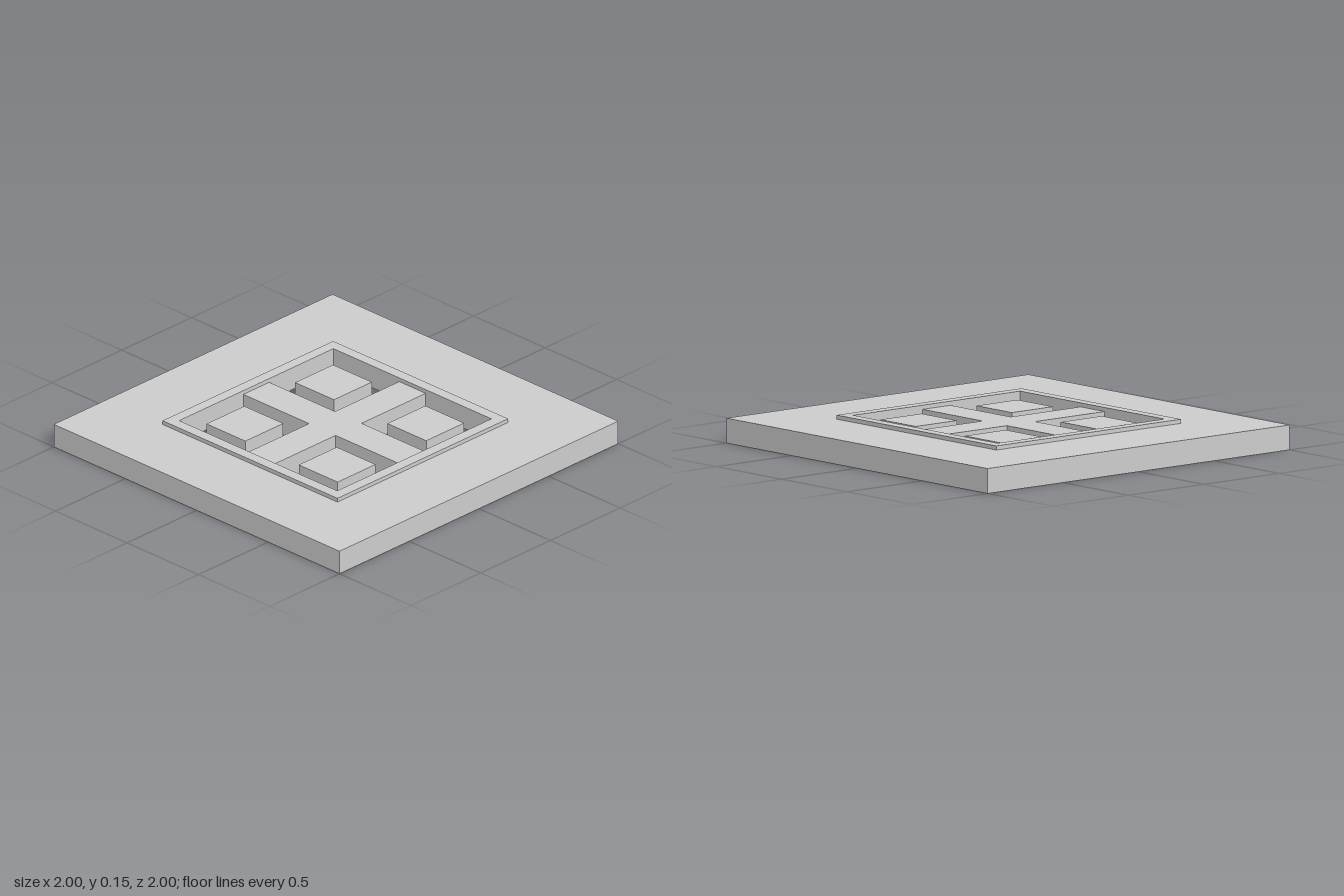
import * as THREE from 'three';
import { mergeGeometries } from 'three/addons/utils/BufferGeometryUtils.js';

const material = new THREE.MeshStandardMaterial({ color: 0xcccccc, side: THREE.DoubleSide, flatShading: true });

// Corners of a square in plan, [x, z]
const square = (half, cx = 0, cz = 0) =>
  [[-1, 1], [1, 1], [1, -1], [-1, -1]].map(([x, z]) => [cx + x * half, cz + z * half]);

// Thin shell with an open underside: a flat top plus a skirt below each walled loop
function shell(name, outline, hole, y0, y1, holeWalled = true) {
  const toVectors = loop => loop.map(([x, z]) => new THREE.Vector2(x, -z));
  const shape = new THREE.Shape(toVectors(outline));
  if (hole) shape.holes.push(new THREE.Path(toVectors(hole)));
  const parts = [new THREE.ShapeGeometry(shape).rotateX(-Math.PI / 2).translate(0, y1, 0)];
  const loops = hole && holeWalled ? [outline, [...hole].reverse()] : [outline];
  for (const loop of loops) {
    loop.forEach(([ax, az], i) => {
      const [bx, bz] = loop[(i + 1) % loop.length];
      const wall = new THREE.PlaneGeometry(Math.hypot(bx - ax, bz - az), y1 - y0);
      wall.rotateY(Math.atan2(az - bz, bx - ax));
      wall.translate((ax + bx) / 2, (y0 + y1) / 2, (az + bz) / 2);
      parts.push(wall);
    });
  }
  const mesh = new THREE.Mesh(mergeGeometries(parts), material);
  mesh.name = name;
  return mesh;
}

export function createModel() {
  const model = new THREE.Group();
  model.name = 'windowPanel';
  const cx = 0.003, cz = 0.008; // centre of the window
  const top = 0.127;

  // Square slab, open below, with the window opening cut through its top
  model.add(shell('baseSlab', square(1), square(0.553, cx, cz), 0, top, false));

  // Raised hollow frame around the opening
  model.add(shell('windowFrame', square(0.612, cx, cz), square(0.553, cx, cz), 0.025, 0.148));

  // Cross bars dividing the opening into four
  const e = 0.553, w = 0.093;
  const cross = [[-w, e], [w, e], [w, w], [e, w], [e, -w], [w, -w],
    [w, -e], [-w, -e], [-w, -w], [-e, -w], [-e, w], [-w, w]];
  model.add(shell('crossBars', cross.map(([x, z]) => [x + cx, z + cz]), null, 0, top));

  // A square block in the middle of each pane
  for (const sx of [-1, 1]) {
    for (const sz of [-1, 1]) {
      model.add(shell('paneBlock', square(0.136, cx + sx * 0.323, cz + sz * 0.318), null, 0, top));
    }
  }
  return model;
}
